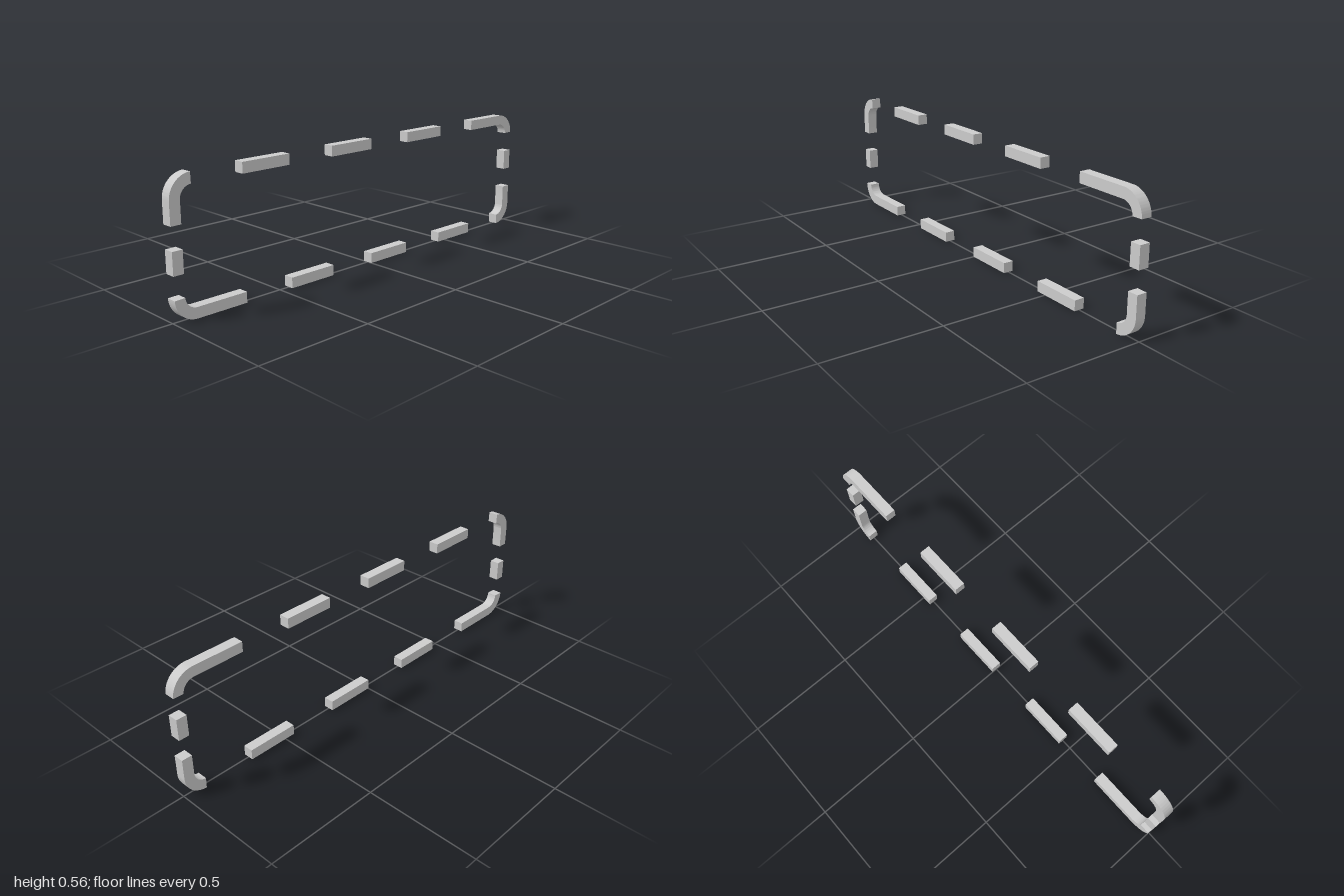
import * as THREE from 'three';
import { toCreasedNormals } from 'three/addons/utils/BufferGeometryUtils.js';

const L = 1, H = 0.2775, T = 0.045, R = 0.095; // half length, half height, bar thickness, corner radius
const material = new THREE.MeshStandardMaterial({ color: 0xcccccc });

// Bent dash: quarter bend around (cz, cy) from angle a0 to a1, then a straight tail
function bentDash(name, cz, cy, a0, a1, tailZ, tailY) {
  const shape = new THREE.Shape();
  const clockwise = a1 < a0;
  const r = R - T;
  shape.moveTo(cz + R * Math.cos(a0), cy + R * Math.sin(a0));
  shape.absarc(cz, cy, R, a0, a1, clockwise);
  shape.lineTo(cz + R * Math.cos(a1) + tailZ, cy + R * Math.sin(a1) + tailY);
  shape.lineTo(cz + r * Math.cos(a1) + tailZ, cy + r * Math.sin(a1) + tailY);
  shape.absarc(cz, cy, r, a1, a0, !clockwise);
  shape.closePath();
  const solid = new THREE.ExtrudeGeometry(shape, { depth: T, bevelEnabled: false, curveSegments: 16 });
  solid.translate(0, 0, -T / 2).rotateY(-Math.PI / 2);
  const mesh = new THREE.Mesh(toCreasedNormals(solid, 0.5), material);
  mesh.name = name;
  return mesh;
}

// Straight dash between two z positions and two y positions
function straightDash(name, z0, z1, y0, y1) {
  const mesh = new THREE.Mesh(new THREE.BoxGeometry(T, y1 - y0, z1 - z0), material);
  mesh.position.set(0, (y0 + y1) / 2, (z0 + z1) / 2);
  mesh.name = name;
  return mesh;
}

// Half of the dashed frame: one long edge and one short end
function halfFrame(name) {
  const half = new THREE.Group();
  half.name = name;
  const cz = L - R, cy = H - R, trim = 0.03;
  half.add(bentDash('cornerWithUpright', cz, cy, Math.PI / 2 - trim, 0, 0, 0.0925 - cy));
  half.add(bentDash('cornerWithRail', cz, -cy, -trim, -Math.PI / 2, 0.68 - cz, 0));
  half.add(straightDash('endDash', L - T, L, -0.0925, 0));
  for (const z of [0.453, 0, -0.453]) {
    half.add(straightDash('railDash', z, z + 0.227, H - T, H));
  }
  return half;
}

export function createModel() {
  const model = new THREE.Group();
  model.name = 'dashedFrame';
  // The second half is the first turned half a revolution about the x axis
  ['topFrontHalf', 'bottomBackHalf'].forEach((name, i) => {
    const half = halfFrame(name);
    half.rotation.x = i * Math.PI;
    half.position.y = H;
    model.add(half);
  });
  return model;
}
